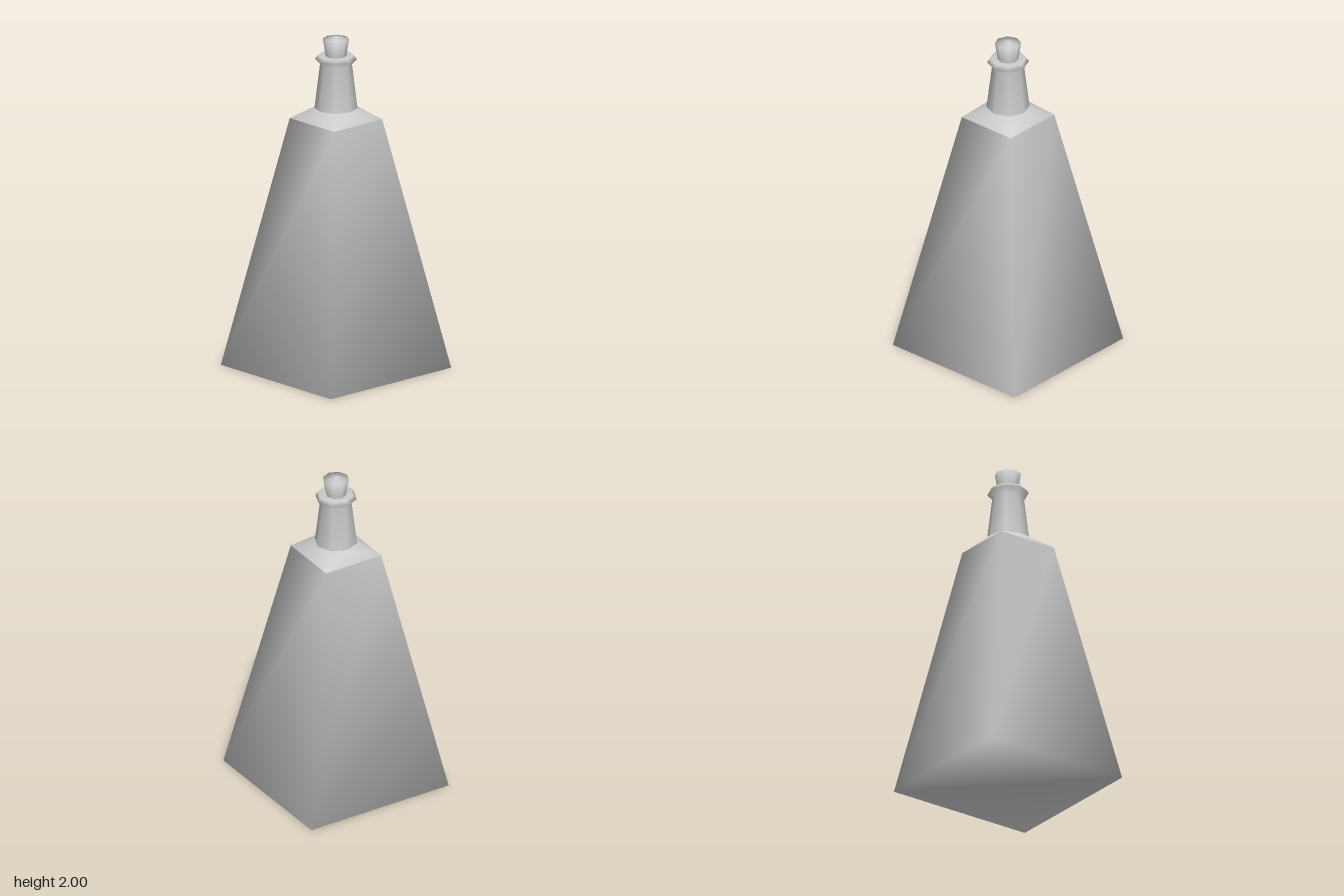
import * as THREE from 'three';

const material = new THREE.MeshStandardMaterial({ color: 0xcccccc });

function ring(count, radius, y, offset = 0) {
  const points = [];
  for (let i = 0; i < count; i++) {
    const a = offset + (i / count) * Math.PI * 2;
    points.push(radius * Math.cos(a), y, radius * Math.sin(a));
  }
  return points;
}

function part(name, geometry) {
  const mesh = new THREE.Mesh(geometry, material);
  mesh.name = name;
  return mesh;
}

function smoothGeometry(positions, indices) {
  const g = new THREE.BufferGeometry();
  g.setAttribute('position', new THREE.Float32BufferAttribute(positions, 3));
  g.setIndex(indices);
  g.computeVertexNormals();
  return g;
}

function turned(profile) {
  return new THREE.LatheGeometry(profile.map(([r, y]) => new THREE.Vector2(r, y)), 8);
}

export function createModel() {
  const group = new THREE.Group();
  group.name = 'bottle';
  const baseHalf = 0.473, topHalf = 0.19, shoulderY = 1.5, neckY = 1.565, neckR = 0.125;

  // Tapered square body, softly shaded round its corners and base
  const bodyIndex = [0, 1, 2, 0, 2, 3];
  for (let i = 0; i < 4; i++) {
    const j = (i + 1) % 4;
    bodyIndex.push(i, 4 + i, j, j, 4 + i, 4 + j);
  }
  const bodyPoints = [
    ...ring(4, baseHalf * Math.SQRT2, 0, Math.PI / 4),
    ...ring(4, topHalf * Math.SQRT2, shoulderY, Math.PI / 4),
  ];
  group.add(part('body', smoothGeometry(bodyPoints, bodyIndex)));

  // Shoulder: square edge blending into the octagonal neck
  const shoulderIndex = [];
  for (let i = 0; i < 4; i++) {
    const j = (i + 1) % 4;
    const a = 4 + 2 * i, b = a + 1, c = 4 + ((2 * i + 2) % 8);
    shoulderIndex.push(i, a, b, i, b, c, i, c, j);
  }
  const shoulderPoints = [
    ...ring(4, topHalf * Math.SQRT2, shoulderY, Math.PI / 4),
    ...ring(8, neckR, neckY),
  ];
  group.add(part('shoulder', smoothGeometry(shoulderPoints, shoulderIndex)));

  // Eight-sided neck with a flared lip
  group.add(part('neck', turned([
    [neckR, neckY], [0.093, 1.83], [0.122, 1.86], [0.105, 1.885], [0.05, 1.88],
  ])));

  // Stopper, widening upward to a low peak
  group.add(part('stopper', turned([
    [0.058, 1.87], [0.077, 1.985], [0, 2],
  ])));

  return group;
}
